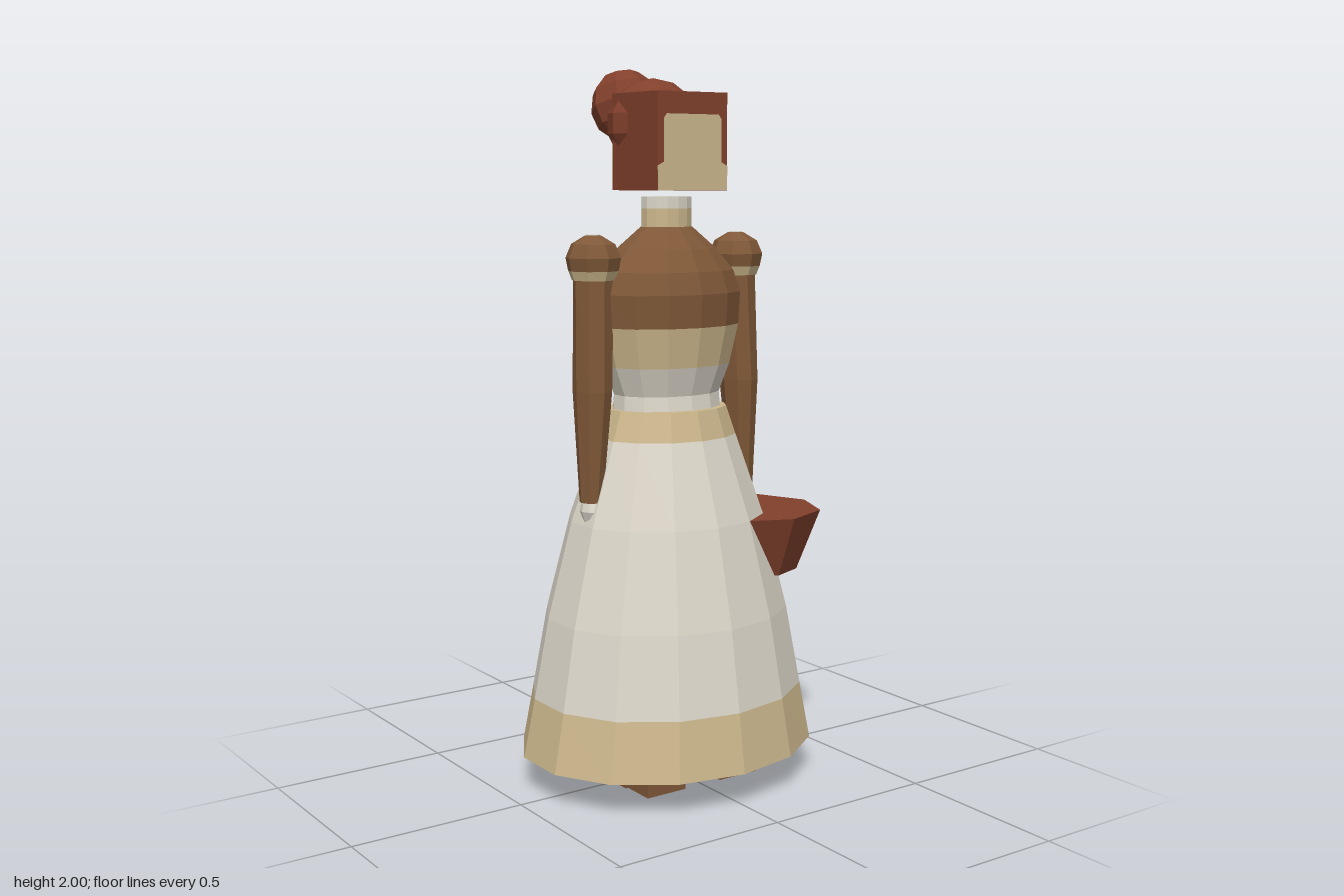
import * as THREE from 'three';

const CX = -0.013; // body axis
const mat = (name, color) => {
  const m = new THREE.MeshStandardMaterial({ color });
  m.name = name;
  return m;
};

export function createModel() {
  const group = new THREE.Group();
  const cream = mat('cream cloth', 0xdcd6c9);
  const tan = mat('tan trim', 0xcdb88d);
  const brown = mat('brown cloth', 0x7f5838);
  const auburn = mat('auburn', 0x81402c);

  // Faceted mesh with one normal per face
  const add = (parent, name, geometry, material, x = 0, y = 0, z = 0) => {
    const g = geometry.index ? geometry.toNonIndexed() : geometry;
    g.computeVertexNormals();
    const mesh = new THREE.Mesh(g, material);
    mesh.name = name;
    mesh.position.set(x, y, z);
    parent.add(mesh);
    return mesh;
  };

  // Elliptical ring stack, each point being [half width, y, half depth]
  const loft = (points, sides = 14) => {
    const g = new THREE.LatheGeometry(points.map(([r, y]) => new THREE.Vector2(r, y)), sides);
    const p = g.attributes.position;
    for (let i = 0; i < p.count; i++) {
      const [rx, , rz] = points[i % points.length];
      if (rx > 0) p.setZ(i, (p.getZ(i) * rz) / rx);
    }
    return g;
  };
  const band = (name, material, points) => add(group, name, loft(points), material, CX);

  // Skirt with closed underside, hem and waistband
  band('skirtHem', tan, [[0, 0.1, 0], [0.438, 0.1, 0.373], [0.404, 0.265, 0.348]]);
  band('skirtUnderside', cream, [[0, 0.098, 0], [0.436, 0.098, 0.371]]);
  band('skirt', cream, [[0.404, 0.265, 0.348], [0.361, 0.49, 0.311], [0.29, 0.76, 0.247], [0.208, 0.99, 0.171]]);
  band('skirtWaistband', tan, [[0.208, 0.99, 0.171], [0.179, 1.07, 0.148], [0, 1.07, 0]]);

  // Bodice and neck
  band('belt', cream, [[0.165, 1.06, 0.128], [0.162, 1.11, 0.12]]);
  band('waist', cream, [[0.162, 1.11, 0.12], [0.194, 1.19, 0.145]]);
  band('midriff', tan, [[0.194, 1.19, 0.145], [0.221, 1.3, 0.165]]);
  band('bodice', brown, [[0.221, 1.3, 0.165], [0.226, 1.39, 0.17], [0.205, 1.45, 0.153],
    [0.15, 1.51, 0.116], [0.077, 1.57, 0.06]]);
  band('neck', tan, [[0.075, 1.57, 0.058], [0.075, 1.62, 0.058]]);
  band('collar', cream, [[0.075, 1.62, 0.058], [0.075, 1.652, 0.058], [0, 1.652, 0]]);

  // Arms and feet, mirrored about the body axis
  for (const s of [-1, 1]) {
    const side = s > 0 ? 'left' : 'right';
    const arm = new THREE.Group();
    arm.name = side + 'Arm';
    arm.position.x = CX + s * 0.24;
    group.add(arm);
    const sleeve = loft([[0, 0.825, 0], [0.032, 0.825, 0.034], [0.051, 1.13, 0.062], [0.056, 1.43, 0.056]], 8);
    const hand = loft([[0, 0.762, 0], [0.019, 0.768, 0.022], [0.03, 0.8, 0.036], [0.024, 0.83, 0.026]], 8);
    for (const g of [sleeve, hand]) {
      const p = g.attributes.position;
      for (let i = 0; i < p.count; i++) {
        const t = (1.43 - p.getY(i)) / 0.6; // lean outwards towards the hand
        p.setX(i, p.getX(i) + s * 0.018 * t);
        p.setZ(i, p.getZ(i) + 0.01 * t);
      }
    }
    add(arm, 'sleeve', sleeve, brown);
    add(arm, 'hand', hand, cream);
    add(arm, 'sleeveBand', loft([[0, 1.43, 0], [0.06, 1.43, 0.06], [0.069, 1.455, 0.07]], 8), tan);
    add(arm, 'shoulderPuff', loft([[0.069, 1.455, 0.071], [0.076, 1.49, 0.078], [0.06, 1.527, 0.062],
      [0.022, 1.55, 0.022], [0, 1.55, 0]], 8), brown);
    add(arm, 'shoulderButton', new THREE.CylinderGeometry(0.018, 0.018, 0.004, 8), cream, 0, 1.55, 0);

    add(group, side + 'Heel', new THREE.BoxGeometry(0.118, 0.098, 0.13), brown, CX + s * 0.124, 0.051, -0.003);
    add(group, side + 'Toe', new THREE.BoxGeometry(0.128, 0.085, 0.12), brown, CX + s * 0.124, 0.0535, 0.12);
  }

  // Head block with a thin face plate, wider at the jaw
  add(group, 'head', new THREE.BoxGeometry(0.23, 0.262, 0.219), auburn, CX, 1.8, 0.0145);
  const face = new THREE.Shape();
  [[-0.114, 1.67], [0.114, 1.67], [0.114, 1.735], [0.094, 1.745], [0.094, 1.86], [0.084, 1.872],
    [-0.084, 1.872], [-0.094, 1.86], [-0.094, 1.745], [-0.114, 1.735]]
    .forEach(([x, y], i) => (i ? face.lineTo(x, y) : face.moveTo(x, y)));
  add(group, 'face', new THREE.ExtrudeGeometry(face, { depth: 0.003, bevelEnabled: false }), tan, CX, 0, 0.124);

  // Hair mass pokes out of the head block; bun sits behind
  const hair = new THREE.SphereGeometry(1, 10, 7);
  hair.scale(0.136, 0.125, 0.115);
  add(group, 'hair', hair, auburn, CX, 1.85, -0.065);
  const bun = new THREE.SphereGeometry(0.102, 8, 6);
  bun.rotateX(-0.3);
  add(group, 'bun', bun, auburn, CX, 1.905, -0.203);

  // Basket held against the left hip
  const basket = new THREE.CylinderGeometry(0.203, 0.136, 0.175, 8);
  add(group, 'basket', basket, auburn, 0.235, 0.6725, 0.066);

  return group;
}
